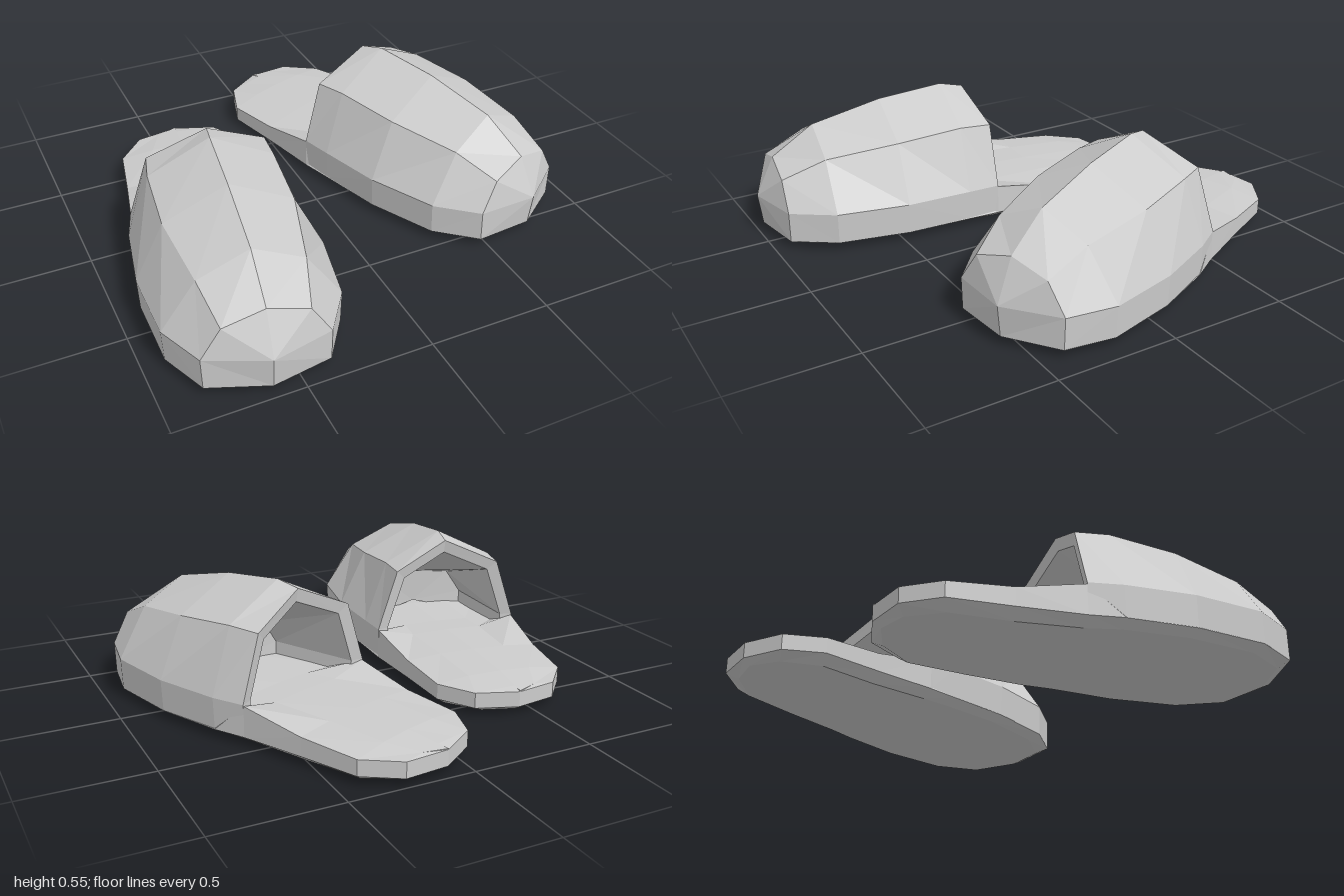
import * as THREE from 'three';

const material = new THREE.MeshStandardMaterial({ color: 0xcccccc, flatShading: true, side: THREE.DoubleSide });

// Skins a row of equal-length rings of [x, y, z]; side -1 mirrors in x.
function loft(name, rings, side, closed) {
  const n = rings[0].length, index = [];
  const points = rings.flat().map(([x, y, z]) => [side * (x - 0.013 * THREE.MathUtils.clamp(z * 8, 0, 1)), y, z]);
  for (let i = 0; i < rings.length - 1; i++) {
    for (let j = 0; j < (closed ? n : n - 1); j++) {
      const k = (j + 1) % n;
      const a = i * n + j, b = i * n + k, c = a + n, d = b + n;
      if (side > 0) index.push(a, c, b, b, c, d);
      else index.push(a, b, c, b, d, c);
    }
  }
  const geometry = new THREE.BufferGeometry();
  geometry.setAttribute('position', new THREE.Float32BufferAttribute(points.flat(), 3));
  geometry.setIndex(index);
  geometry.computeVertexNormals();
  const mesh = new THREE.Mesh(geometry, material);
  mesh.name = name;
  return mesh;
}

// Arch from one base edge over the ridge to the other
function arch(z, w, shoulderW, shoulderY, ridgeY, baseY = 0.035, midY = 0.165, ridgeZ = z) {
  const half = [[w * 0.985, baseY, z], [w, midY, z], [shoulderW, shoulderY, z]];
  const left = half.map(([x, y, zz]) => [-x, y, zz]);
  return [...left, [0, ridgeY, ridgeZ], ...half.reverse()];
}

// Closed slice of the sole: footbed, rim, edge and chamfered underside
function soleSlice([z, w, rimW, rimY, bedY, bottomY]) {
  const zb = 0.1 + (z - 0.1) * 0.96, wb = Math.max(w - 0.045, 0);
  const right = [[rimW * 0.5, bedY, z], [rimW, rimY, z], [w, 0.036, z], [wb, bottomY, zb]];
  const left = right.map(([x, y, zz]) => [-x, y, zz]).reverse();
  return [...left, [0, bedY + 0.004, z], ...right, [0, bottomY, zb]];
}

function slipper(name, side) {
  const group = new THREE.Group();
  group.name = name;

  // Upper: cavity wall, lip, outer shell, toe tip
  const cavityEnd = Array.from({ length: 7 }, () => [0, 0.14, 0.38]);
  const toeTip = arch(0.94, 0, 0, 0.165, 0.165);
  toeTip[0][2] = toeTip[6][2] = 0.925;
  group.add(loft('upper', [
    cavityEnd,
    arch(0.37, 0.24, 0.17, 0.27, 0.29, 0.08),
    arch(-0.02, 0.275, 0.2, 0.385, 0.475, 0.08, 0.165, 0.01),
    arch(-0.035, 0.325, 0.24, 0.42, 0.53, 0.035, 0.165, 0.0),
    arch(0.1, 0.345, 0.25, 0.425, 0.55),
    arch(0.38, 0.365, 0.25, 0.4, 0.52),
    arch(0.68, 0.335, 0.2, 0.36, 0.45),
    arch(0.86, 0.237, 0.16, 0.285, 0.33),
    toeTip,
  ], side, false));

  // Sole: [z, half width, rim half width, rim y, footbed y, underside y]
  group.add(loft('sole', [
    [-0.73, 0, 0, 0.1, 0.1, 0.015],
    [-0.685, 0.172, 0.172, 0.1, 0.105, 0.01],
    [-0.55, 0.273, 0.273, 0.1, 0.118, 0.003],
    [-0.3, 0.295, 0.295, 0.112, 0.125, 0],
    [-0.035, 0.325, 0.323, 0.16, 0.125, 0.005],
    [0.1, 0.342, 0.3, 0.11, 0.12, 0.01],
    [0.38, 0.36, 0.32, 0.1, 0.12, 0.012],
    [0.68, 0.33, 0.29, 0.1, 0.1, 0.013],
    [0.86, 0.234, 0.18, 0.08, 0.08, 0.015],
    [0.925, 0, 0, 0.05, 0.05, 0.02],
  ].map(soleSlice), side, true));
  return group;
}

export function createModel() {
  const model = new THREE.Group();
  model.name = 'slippers';

  const right = slipper('rightSlipper', 1);
  right.position.set(-0.5, 0, 0.06);
  right.rotation.y = -0.115;

  const left = slipper('leftSlipper', -1);
  left.position.set(0.365, 0, -0.3);
  left.rotation.y = 0.366;

  model.add(right, left);
  return model;
}
